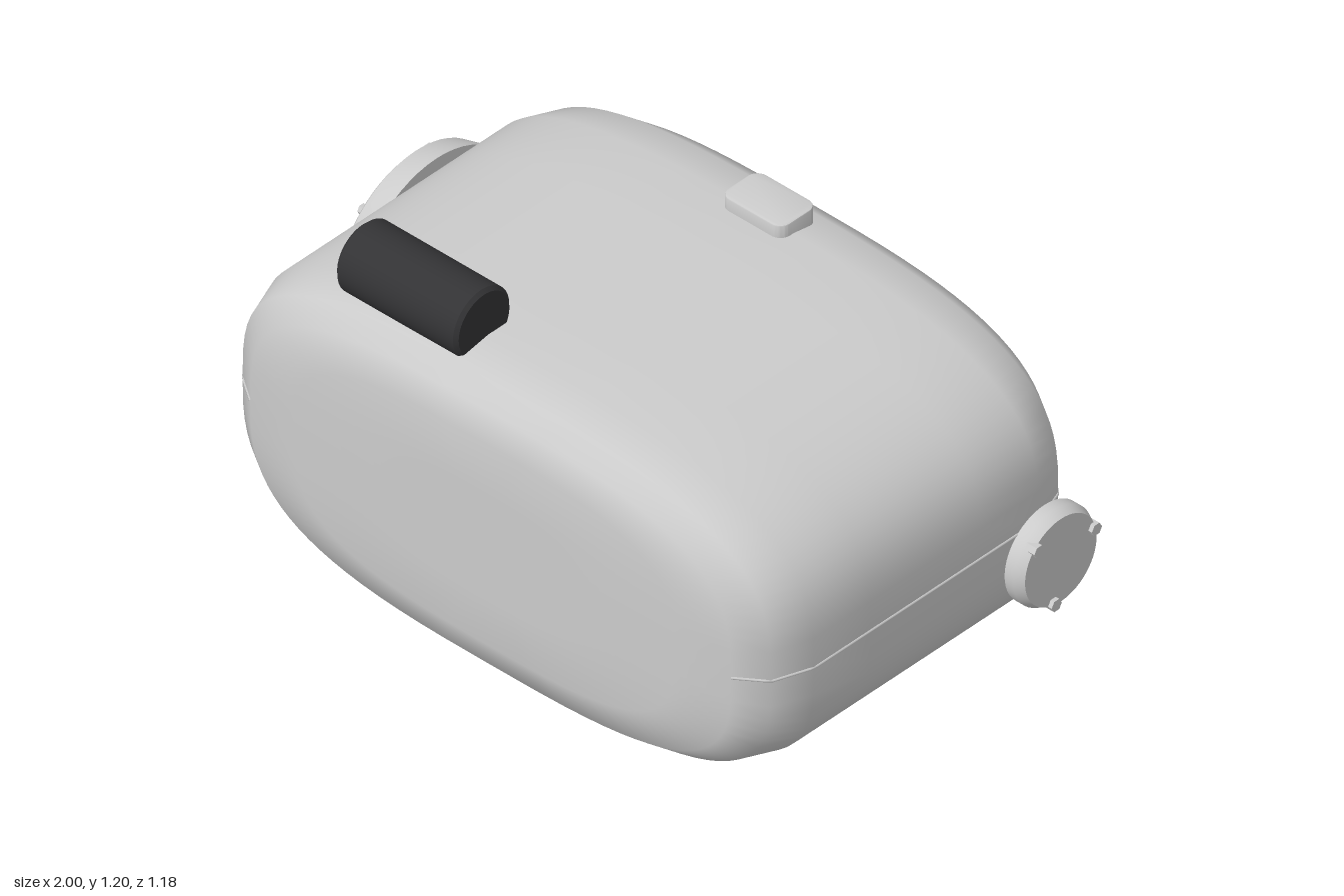
import * as THREE from 'three';
import { toCreasedNormals } from 'three/addons/utils/BufferGeometryUtils.js';

const grey = new THREE.MeshStandardMaterial({ color: 0xcccccc });
const black = new THREE.MeshStandardMaterial({ color: 0x333335 });

const CX = 0.01, CY = 0.608, HALF_W = 0.92, HALF_H = 0.447, POWER = 3.1;
// Body sections from back to front: [z, scale of the cross-section]
const END = [[0.59, 0], [0.59, 0.35], [0.59, 0.69], [0.567, 0.87], [0.51, 0.957], [0.4, 1]];
const SECTIONS = [
  ...END.map(([z, s]) => [-z, s]),
  [-0.2, 1], [0, 1], [0.2, 1],
  ...END.slice().reverse(),
];

function add(parent, name, geometry, x = 0, y = 0, z = 0, material = grey) {
  const mesh = new THREE.Mesh(geometry, material);
  mesh.name = name;
  mesh.position.set(x, y, z);
  parent.add(mesh);
  return mesh;
}

// Squarish oval cross-section swept along z, drawn in at both ends
function bodyGeometry(segments = 80) {
  const pos = [], index = [];
  const power = (v) => Math.sign(v) * Math.pow(Math.abs(v), 2 / POWER);
  for (const [z, s] of SECTIONS) {
    for (let i = 0; i < segments; i++) {
      const a = (i / segments) * Math.PI * 2;
      pos.push(power(Math.cos(a)) * HALF_W * s, power(Math.sin(a)) * HALF_H * s, z);
    }
  }
  for (let r = 0; r < SECTIONS.length - 1; r++) {
    for (let i = 0; i < segments; i++) {
      const j = (i + 1) % segments;
      const a = r * segments + i, b = r * segments + j;
      index.push(a, b, b + segments, a, b + segments, a + segments);
    }
  }
  const g = new THREE.BufferGeometry();
  g.setAttribute('position', new THREE.Float32BufferAttribute(pos, 3));
  g.setIndex(index);
  g.computeVertexNormals();
  return g;
}

// Upright slab with rounded corners and small bevels, its base on y = 0
function slab(w, h, d, radius, bevel) {
  const x = w / 2 - bevel, y = d / 2 - bevel, r = radius;
  const s = new THREE.Shape();
  s.moveTo(-x + r, -y);
  s.lineTo(x - r, -y);
  s.absarc(x - r, -y + r, r, -Math.PI / 2, 0);
  s.absarc(x - r, y - r, r, 0, Math.PI / 2);
  s.absarc(-x + r, y - r, r, Math.PI / 2, Math.PI);
  s.absarc(-x + r, -y + r, r, Math.PI, Math.PI * 1.5);
  const g = new THREE.ExtrudeGeometry(s, {
    depth: h - 2 * bevel, bevelThickness: bevel, bevelSize: bevel, bevelSegments: 2, curveSegments: 6,
  });
  g.translate(0, 0, bevel);
  g.rotateX(-Math.PI / 2);
  return toCreasedNormals(g, 0.6);
}

function lathe(points) {
  const g = new THREE.LatheGeometry(points.map(([r, y]) => new THREE.Vector2(r, y)), 56);
  return toCreasedNormals(g, 0.5);
}

// Round side cover facing +x or -x, with a ring of hex bolts
function sideCover(name, side, { x, y, z, profile, face, boltRing, bolts, firstAngle, boltRadius }) {
  const group = new THREE.Group();
  group.name = name;
  group.position.set(side * x, y, z);
  add(group, name + 'Disc', lathe(profile)).rotation.z = -side * Math.PI / 2;
  for (let i = 0; i < bolts; i++) {
    const a = firstAngle + (i / bolts) * Math.PI * 2;
    const bolt = toCreasedNormals(new THREE.CylinderGeometry(boltRadius, boltRadius, 0.035, 6), 0.5);
    const m = add(group, name + 'Bolt', bolt, side * (face - 0.0055), Math.sin(a) * boltRing, Math.cos(a) * boltRing);
    m.rotation.z = Math.PI / 2;
  }
  return group;
}

export function createModel() {
  const model = new THREE.Group();
  model.name = 'model';

  add(model, 'body', bodyGeometry(), CX, CY, 0);

  // Thin parting line along each flank
  for (const side of [-1, 1]) {
    const path = new THREE.CurvePath();
    const pts = SECTIONS.filter(([, s]) => s > 0.8)
      .map(([z, s]) => new THREE.Vector3(CX + side * HALF_W * s, 0, z));
    for (let i = 1; i < pts.length; i++) path.add(new THREE.LineCurve3(pts[i - 1], pts[i]));
    add(model, 'partingLine', new THREE.TubeGeometry(path, 60, 0.004, 6), 0, 0.606, 0);
  }

  // Black roller on the top front edge
  const roller = lathe([[0, 0], [0.09, 0], [0.1, 0.01], [0.1, 0.395], [0.09, 0.405], [0, 0.405]]);
  add(model, 'roller', roller, -0.155, 1.095, 0.415, black).rotation.z = Math.PI / 2;

  // Button on the top
  add(model, 'topButton', slab(0.205, 0.092, 0.133, 0.028, 0.004), 0.01, 1.0, -0.421);

  // Base block with cooling fins and a hex nut
  add(model, 'base', slab(0.54, 0.17, 0.76, 0.015, 0.01), 0.01, 0.047, -0.035);
  for (let i = 0; i < 4; i++) {
    add(model, 'baseFin', new THREE.BoxGeometry(0.015, 0.05, 0.69), -0.197 + i * 0.138, 0.035, -0.035);
  }
  const hex = new THREE.Shape(), hole = new THREE.Path();
  for (let i = 0; i < 6; i++) {
    const a = (i / 6) * Math.PI * 2;
    hex[i ? 'lineTo' : 'moveTo'](0.038 * Math.cos(a), 0.038 * Math.sin(a));
  }
  hole.absarc(0, 0, 0.018, 0, Math.PI * 2, true);
  hex.holes.push(hole);
  const nut = new THREE.ExtrudeGeometry(hex, { depth: 0.06, bevelEnabled: false, curveSegments: 10 });
  add(model, 'baseNut', nut.rotateX(-Math.PI / 2), 0.01, 0, 0.208);

  // Large cover on the right, small cover on the left
  model.add(sideCover('largeCover', -1, {
    x: 0.905, y: 0.558, z: -0.215, face: 0.084, boltRing: 0.24, bolts: 6, firstAngle: 0.82, boltRadius: 0.015,
    profile: [[0, -0.1], [0.2, -0.1], [0.2, 0], [0.288, 0], [0.288, 0.01], [0.274, 0.07], [0.255, 0.084], [0, 0.084]],
  }));
  model.add(sideCover('smallCover', 1, {
    x: 0.932, y: 0.505, z: -0.415, face: 0.056, boltRing: 0.121, bolts: 3, firstAngle: 0.75, boltRadius: 0.018,
    profile: [[0, -0.08], [0.11, -0.08], [0.11, 0], [0.14, 0], [0.14, 0.03], [0.127, 0.056], [0, 0.056]],
  }));

  return model;
}
